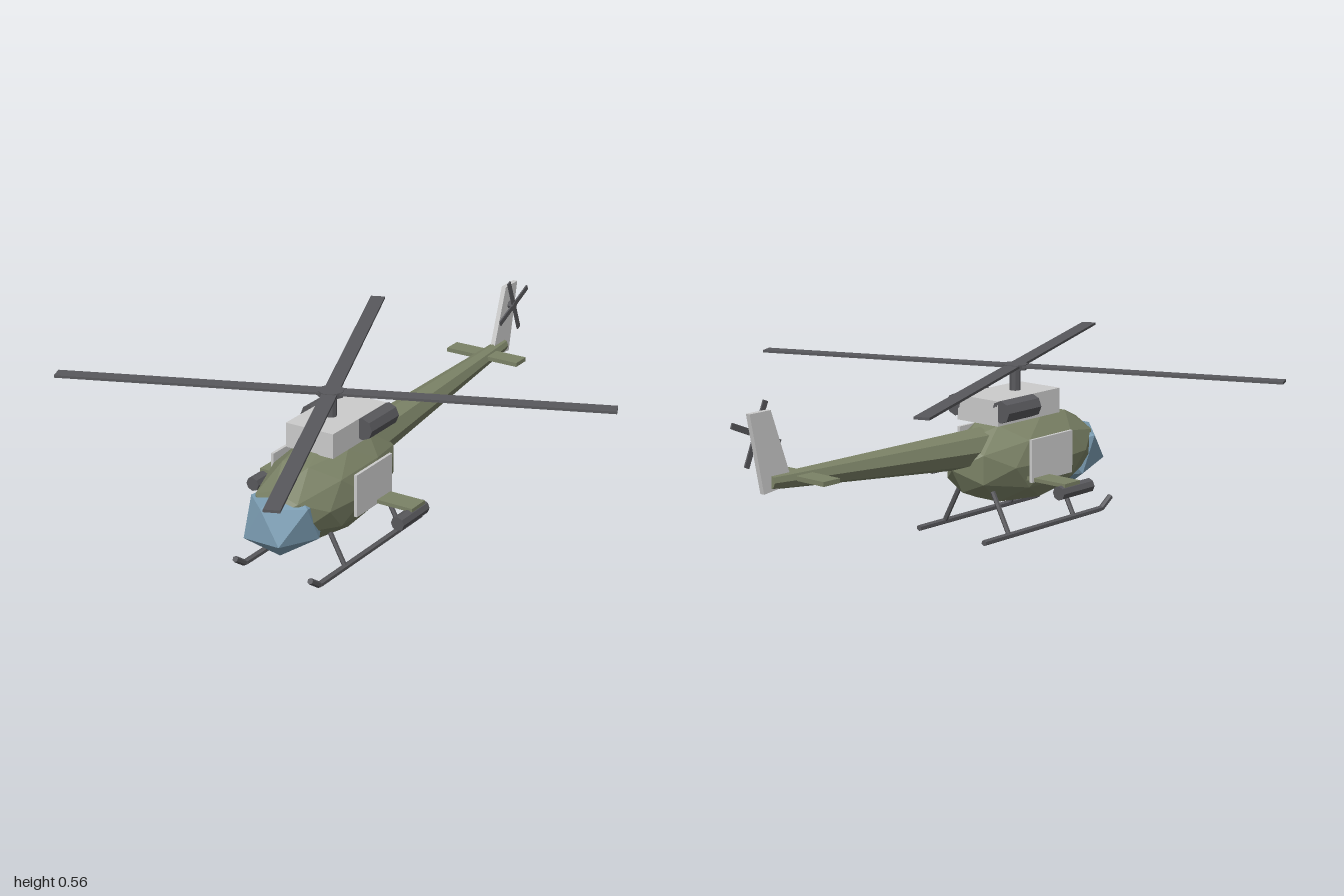
import * as THREE from 'three';

const paint = (color) => new THREE.MeshStandardMaterial({ color, flatShading: true });

export function createModel() {
  const model = new THREE.Group();
  const olive = paint(0x7b8266), dark = paint(0x58585c), glass = paint(0x7d9fb5), grey = paint(0xcccccc);

  const add = (name, geometry, material, x = 0, y = 0, z = 0, parent = model) => {
    const mesh = new THREE.Mesh(geometry, material);
    mesh.name = name;
    mesh.position.set(x, y, z);
    parent.add(mesh);
    return mesh;
  };
  const box = (w, h, d) => new THREE.BoxGeometry(w, h, d);

  // Straight round bar between two points, r1 at the start and r2 at the end
  const bar = (name, a, b, r1, r2, material, sides = 8, parent = model) => {
    const from = new THREE.Vector3(...a), to = new THREE.Vector3(...b);
    const dir = to.clone().sub(from);
    const mesh = add(name, new THREE.CylinderGeometry(r2, r1, dir.length(), sides), material, 0, 0, 0, parent);
    mesh.position.copy(from).add(to).multiplyScalar(0.5);
    mesh.quaternion.setFromUnitVectors(new THREE.Vector3(0, 1, 0), dir.normalize());
    return mesh;
  };

  // Fuselage and faceted canopy
  add('fuselage', new THREE.IcosahedronGeometry(1, 1).scale(0.152, 0.152, 0.33), olive, 0, 0.218, 0.22);
  add('canopy', new THREE.IcosahedronGeometry(1, 0).rotateX(-1.206).scale(0.12, 0.12, 0.16), glass, 0, 0.191, 0.443);

  // Tail boom, stabilizer and swept fin
  bar('tailBoom', [0, 0.27, 0.02], [0, 0.32, -0.88], 0.066, 0.022, olive, 8);
  add('stabilizer', box(0.27, 0.014, 0.065), olive, 0, 0.32, -0.765);
  const finShape = new THREE.Shape([
    [0.797, 0.303], [0.909, 0.29], [0.957, 0.53], [0.877, 0.53],
  ].map(([back, y]) => new THREE.Vector2(back, y)));
  const fin = new THREE.ExtrudeGeometry(finShape, { depth: 0.016, bevelEnabled: false });
  add('tailFin', fin.translate(0, 0, -0.008).rotateY(Math.PI / 2), grey);

  // Tail rotor
  bar('tailRotorHub', [0, 0.46, -0.905], [0.03, 0.46, -0.905], 0.014, 0.014, dark);
  const tailRotor = new THREE.Group();
  tailRotor.name = 'tailRotor';
  tailRotor.position.set(0.025, 0.46, -0.905);
  tailRotor.rotation.x = 0.4;
  add('tailRotorBlade', box(0.005, 0.018, 0.2), dark, 0, 0, 0, tailRotor);
  add('tailRotorBlade', box(0.005, 0.2, 0.018), dark, 0, 0, 0, tailRotor);
  model.add(tailRotor);

  // Engine cowling, mast and main rotor
  add('engineCowling', box(0.17, 0.08, 0.3), grey, 0, 0.39, 0.16);
  bar('mast', [0, 0.42, 0.19], [0, 0.51, 0.19], 0.018, 0.018, dark);
  bar('rotorHub', [0, 0.498, 0.19], [0, 0.515, 0.19], 0.042, 0.042, dark);
  const rotor = new THREE.Group();
  rotor.name = 'mainRotor';
  rotor.position.set(0, 0.509, 0.19);
  rotor.rotation.y = 0.4;
  add('rotorBlade', box(1.73, 0.008, 0.048), dark, 0, 0, 0, rotor);
  add('rotorBlade', box(0.048, 0.008, 1.73), dark, 0, 0, 0, rotor);
  model.add(rotor);

  // Paired parts on each side
  for (const s of [1, -1]) {
    const side = new THREE.Group();
    side.name = s > 0 ? 'leftSide' : 'rightSide';
    model.add(side);
    bar('engineExhaust', [s * 0.095, 0.397, 0.165], [s * 0.095, 0.397, 0.01], 0.036, 0.036, dark, 8, side);
    add('door', box(0.01, 0.138, 0.2), grey, s * 0.152, 0.236, 0.19, side);
    add('stubWing', box(0.16, 0.012, 0.075), olive, s * 0.202, 0.175, 0.138, side);
    bar('weaponPod', [s * 0.268, 0.152, 0.237], [s * 0.268, 0.152, 0.087], 0.023, 0.023, dark, 8, side);

    // Landing skid with an upturned toe and two struts
    bar('skid', [s * 0.137, 0.01, 0.465], [s * 0.137, 0.01, -0.115], 0.01, 0.01, dark, 6, side);
    bar('skidToe', [s * 0.137, 0.01, 0.468], [s * 0.137, 0.042, 0.515], 0.01, 0.01, dark, 6, side);
    for (const z of [0.325, 0.005]) {
      bar('skidStrut', [s * 0.137, 0.01, z], [s * 0.068, 0.14, z], 0.008, 0.008, dark, 6, side);
    }
  }
  return model;
}
